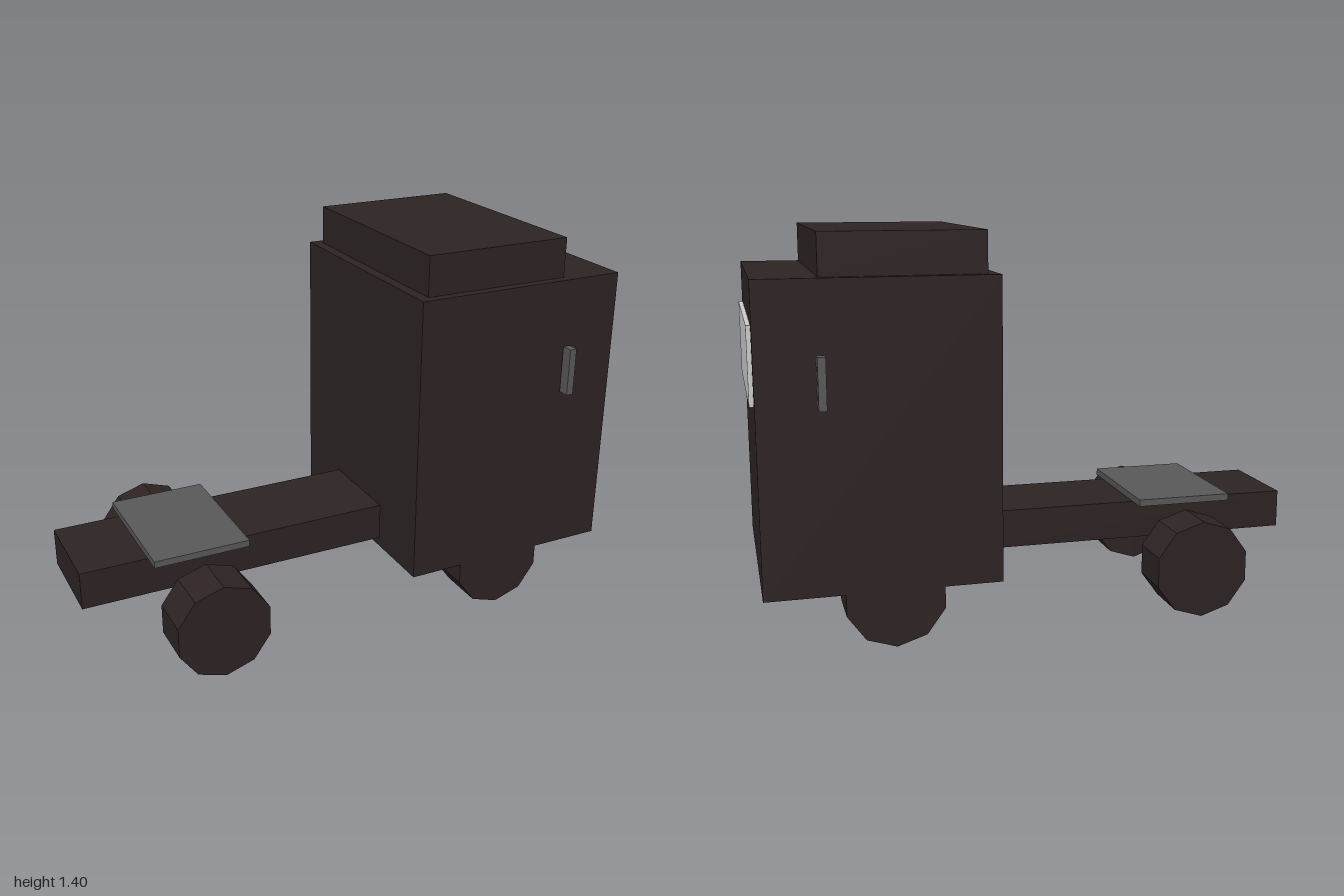
import * as THREE from 'three';

const paint = (name, color) => {
  const material = new THREE.MeshStandardMaterial({ color });
  material.name = name;
  return material;
};

export function createModel() {
  const truck = new THREE.Group();
  truck.name = 'truck';
  const body = paint('dark brown', 0x2d2323);
  const grey = paint('mid grey', 0x585858);
  const glass = paint('pale glass', 0xcccccc);

  const add = (name, geometry, material, x, y, z) => {
    const mesh = new THREE.Mesh(geometry, material);
    mesh.name = name;
    mesh.position.set(x, y, z);
    truck.add(mesh);
  };

  // Box given by its extents on each axis
  const box = (name, material, [x0, x1], [y0, y1], [z0, z1]) =>
    add(name, new THREE.BoxGeometry(x1 - x0, y1 - y0, z1 - z0), material,
      (x0 + x1) / 2, (y0 + y1) / 2, (z0 + z1) / 2);

  // Cab, roof fairing and windscreen
  box('cab', body, [0.17, 0.985], [0.2, 1.26], [-0.44, 0.44]);
  box('roofFairing', body, [0.21, 0.77], [1.26, 1.405], [-0.405, 0.405]);
  box('windscreen', glass, [0.985, 1], [0.845, 1.11], [-0.39, 0.39]);

  // Chassis beam and coupling plate
  box('chassis', body, [-1, 0.18], [0.235, 0.375], [-0.175, 0.175]);
  box('couplingPlate', grey, [-0.755, -0.4], [0.375, 0.4], [-0.25, 0.25]);

  // Ten-sided wheels with a corner at the bottom, flat-sided hubs
  const wheel = new THREE.CylinderGeometry(0.178, 0.178, 0.172, 10).rotateX(Math.PI / 2).toNonIndexed();
  wheel.computeVertexNormals();

  for (const side of [-1, 1]) {
    add('frontWheel', wheel, body, 0.543, 0.178, side * 0.354);
    add('rearWheel', wheel, body, -0.575, 0.178, side * 0.354);
    // Mirrors stand just clear of the cab sides
    add('mirror', new THREE.BoxGeometry(0.027, 0.175, 0.042), grey, 0.773, 0.927, side * 0.471);
  }
  return truck;
}
